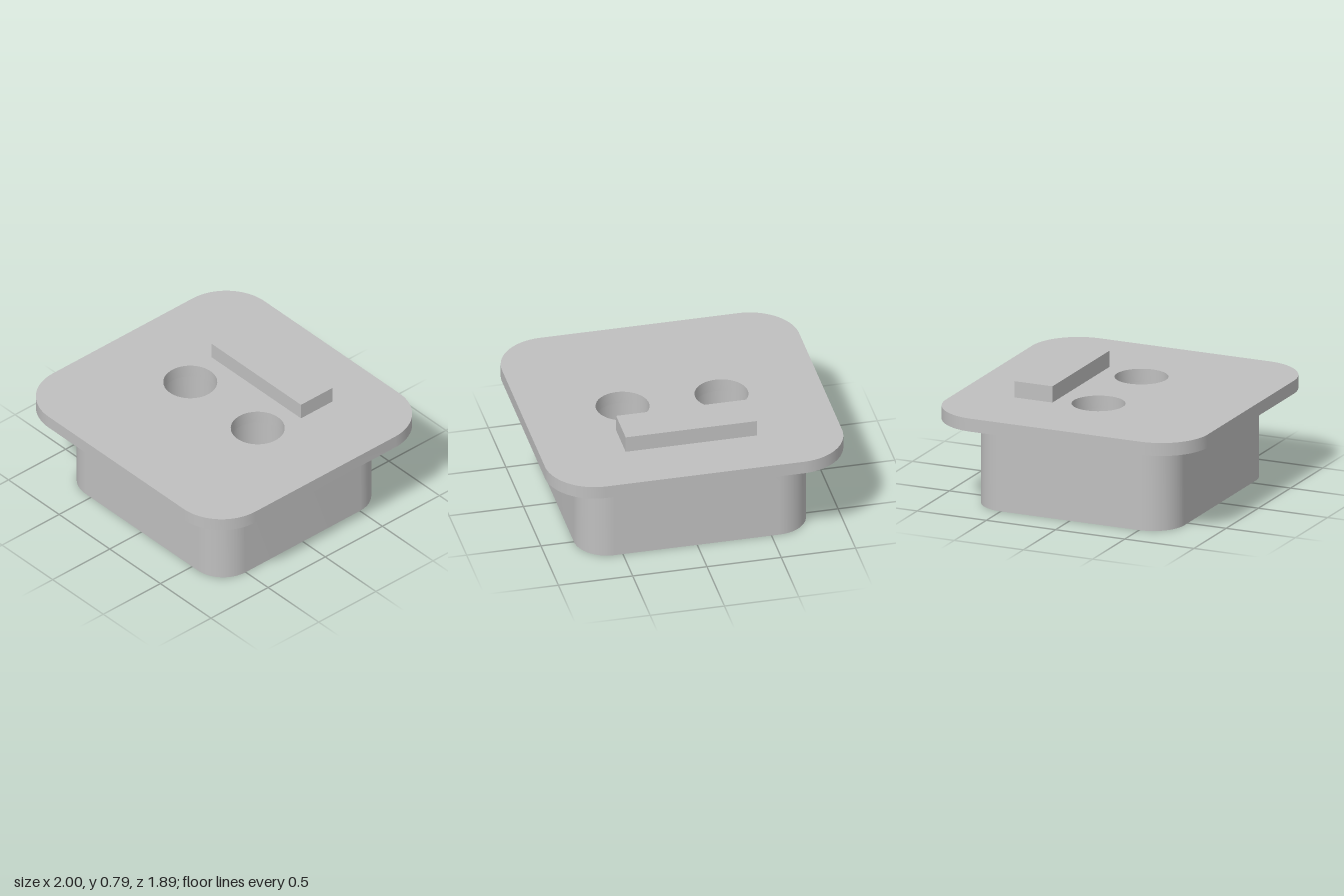
import * as THREE from 'three';
import { toCreasedNormals } from 'three/addons/utils/BufferGeometryUtils.js';

const HOLE_X = 0.333, HOLE_R = 0.177;

// Rounded rectangle outline with two round through-holes
function outline(hw, hd, r) {
  const s = new THREE.Shape();
  s.moveTo(-hw + r, -hd);
  s.lineTo(hw - r, -hd);
  s.absarc(hw - r, -hd + r, r, -Math.PI / 2, 0);
  s.lineTo(hw, hd - r);
  s.absarc(hw - r, hd - r, r, 0, Math.PI / 2);
  s.lineTo(-hw + r, hd);
  s.absarc(-hw + r, hd - r, r, Math.PI / 2, Math.PI);
  s.lineTo(-hw, -hd + r);
  s.absarc(-hw + r, -hd + r, r, Math.PI, Math.PI * 1.5);
  for (const side of [-1, 1]) {
    const hole = new THREE.Path();
    hole.absarc(side * HOLE_X, 0, HOLE_R, 0, Math.PI * 2, true);
    s.holes.push(hole);
  }
  return s;
}

// Upright slab between two heights
function slab(name, hw, hd, r, y0, y1, material) {
  const geo = new THREE.ExtrudeGeometry(outline(hw, hd, r), {
    depth: y1 - y0, bevelEnabled: false, curveSegments: 24,
  });
  geo.rotateX(-Math.PI / 2);
  geo.translate(0, y0, 0);
  const mesh = new THREE.Mesh(toCreasedNormals(geo, 0.5), material);
  mesh.name = name;
  return mesh;
}

export function createModel() {
  const grey = new THREE.MeshStandardMaterial({ color: 0xbfbfbf });
  grey.name = 'grey';
  const model = new THREE.Group();
  model.name = 'flangedPlug';

  // Deep body and the wider flange on top of it
  model.add(slab('body', 0.778, 0.722, 0.222, 0, 0.592, grey));
  model.add(slab('flange', 1, 0.944, 0.333, 0.592, 0.681, grey));

  // Raised bar behind the holes
  const bar = new THREE.Mesh(new THREE.BoxGeometry(0.885, 0.111, 0.274), grey);
  bar.name = 'bar';
  bar.position.set(0, 0.7365, -0.419);
  model.add(bar);

  return model;
}
